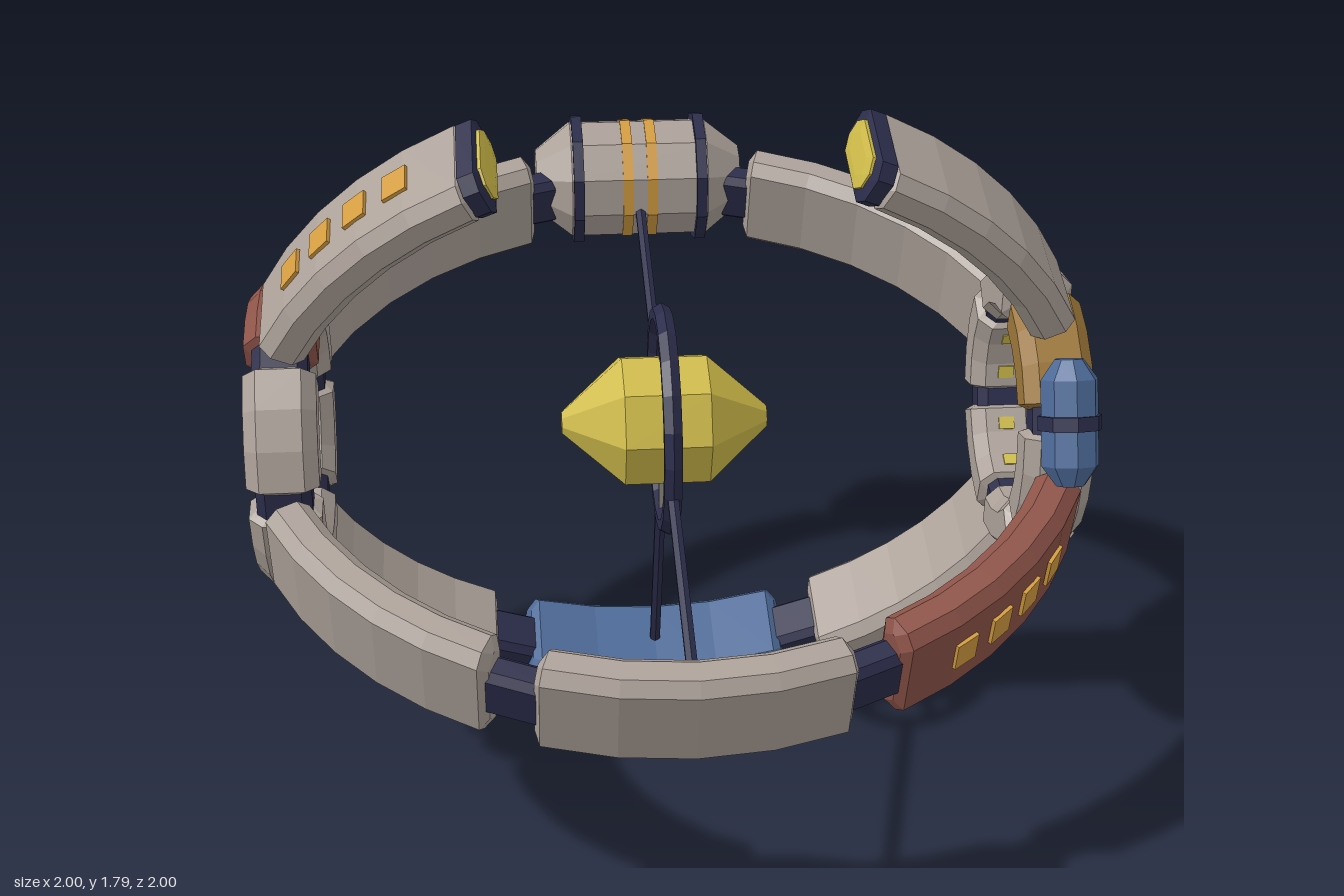
import * as THREE from 'three';

const rad = THREE.MathUtils.degToRad;
const V = (x, y, z) => new THREE.Vector3(x, y, z);
const CY = 0.94, CZ = 0.06; // hub axis position

const mat = {};
for (const [name, color] of Object.entries({
  hull: 0xaca199, navy: 0x2b2c4a, blue: 0x4d6a98, red: 0x8e5449,
  yellow: 0xcfbb4a, orange: 0xd39c40, bronze: 0x9c7639, steel: 0x7a766f,
})) {
  mat[name] = new THREE.MeshStandardMaterial({ color });
  mat[name].name = name;
}

// faceted normals
function flat(g) {
  const f = g.index ? g.toNonIndexed() : g;
  f.computeVertexNormals();
  return f;
}

function add(parent, name, geo, material) {
  const m = new THREE.Mesh(geo, material);
  m.name = name;
  parent.add(m);
  return m;
}

// frames: position P, tangent T, outward N, sideways S for an angle in degrees
function armFrame(deg) {
  const a = 0.99, b = 0.905, s = Math.sin(rad(deg)), c = Math.cos(rad(deg));
  const T = V(a * c, 0, -b * s).normalize(), N = V(b * s, 0, a * c).normalize();
  return { P: V(a * s, 0, b * c), T, N, S: V(0, 1, 0) };
}
function hubFrame(deg) {
  const r = 0.3, s = Math.sin(rad(deg)), c = Math.cos(rad(deg));
  return { P: V(0, r * s, -r * c), T: V(0, c, s), N: V(0, s, -c), S: V(1, 0, 0) };
}

// chamfered bar swept along a frame, with chamfered ends
function bar(frame, a0, a1, w, t, c, n, e = 1) {
  const stations = [[a0, c * 0.7]];
  for (let i = 0; i <= n; i++) stations.push([a0 + e + (a1 - a0 - 2 * e) * i / n, 0]);
  stations.push([a1, c * 0.7]);
  const pos = [], idx = [];
  for (const [ang, inset] of stations) {
    const f = frame(ang), x = w / 2 - inset, y = t / 2 - inset, k = c * 0.9;
    const section = [[x, k - y], [x, y - k], [x - k, y], [k - x, y],
      [-x, y - k], [-x, k - y], [k - x, -y], [x - k, -y]];
    for (const [s, q] of section) {
      pos.push(...f.P.clone().addScaledVector(f.S, s).addScaledVector(f.N, q).toArray());
    }
  }
  const last = stations.length - 1;
  for (let i = 0; i < last; i++) for (let j = 0; j < 8; j++) {
    const p = i * 8 + j, q = i * 8 + (j + 1) % 8;
    idx.push(p, q, q + 8, p, q + 8, p + 8);
  }
  for (let j = 1; j < 7; j++) {
    idx.push(0, j + 1, j, last * 8, last * 8 + j, last * 8 + j + 1);
  }
  const g = new THREE.BufferGeometry();
  g.setAttribute('position', new THREE.Float32BufferAttribute(pos, 3));
  g.setIndex(idx);
  return flat(g);
}

// thin window plate; (ds, dn) is its offset, onSide turns it to face sideways
function plate(parent, frame, deg, ds, dn, len, wid, material, onSide = false) {
  const f = frame(deg);
  const g = onSide ? new THREE.BoxGeometry(len, 0.009, wid) : new THREE.BoxGeometry(len, wid, 0.009);
  const m = add(parent, 'window', g, material);
  m.quaternion.setFromRotationMatrix(new THREE.Matrix4().makeBasis(f.T, f.S, f.N));
  m.position.copy(f.P).addScaledVector(f.S, ds).addScaledVector(f.N, dn);
}

// turned body along x from [x, radius] pairs
function turned(points, sides) {
  const g = new THREE.LatheGeometry(points.map(([x, r]) => new THREE.Vector2(r, x)), sides);
  return flat(g.rotateZ(-Math.PI / 2));
}

const W = 0.27, TH = 0.11;

function makeArm(name, tilt) {
  const g = new THREE.Group();
  g.name = name;
  g.rotation.x = rad(tilt);
  return g;
}

// side segment: sign +1 for left (+x), -1 for right
function sideSegment(arm, sign, start, material) {
  const lo = sign > 0 ? start : -67, hi = sign > 0 ? 67 : -start;
  add(arm, 'armSegment', bar(armFrame, lo, hi, W, TH, 0.032, 5), material);
  const [j0, j1] = sign > 0 ? [65, 71] : [-71, -65];
  add(arm, 'hubJoint', bar(armFrame, j0, j1, 0.15, 0.08, 0.02, 1), mat.navy);
}
const windowAngles = (mid) => [-10, -3.3, 3.3, 10].map((d) => mid + d);

// arm with a centre segment
function fullArm(name, tilt, colors) {
  const arm = makeArm(name, tilt);
  add(arm, 'centreSegment', bar(armFrame, -20.5, 20.5, W, TH, 0.032, 4), colors[1]);
  sideSegment(arm, -1, 26.5, colors[0]);
  sideSegment(arm, 1, 26.5, colors[2]);
  for (const a of [-28, 19]) add(arm, 'armJoint', bar(armFrame, a, a + 9, 0.14, 0.08, 0.02, 1), mat.navy);
  return arm;
}

function strut(arm, end) {
  const g = flat(new THREE.CylinderGeometry(0.015, 0.015, end - 0.265, 6).rotateX(Math.PI / 2));
  add(arm, 'strut', g, mat.navy).position.z = (end + 0.265) / 2;
}

// small tank with a middle band
function tank(parent, name, x, y, z, r, half, material) {
  const g = new THREE.Group();
  g.name = name;
  add(g, 'tankBody', turned([[-half, 0], [-half, r * 0.5], [-half * 0.68, r], [half * 0.68, r], [half, r * 0.5], [half, 0]], 8), material);
  add(g, 'tankBand', turned([[-0.017, 0], [-0.017, r * 1.12], [0.017, r * 1.12], [0.017, 0]], 8), mat.navy);
  g.rotation.set(rad(-20), 0, Math.PI / 2);
  g.position.set(x, y, z);
  parent.add(g);
}

// segmented hub ring
function hub(name, x, first, colored, material) {
  const g = new THREE.Group();
  g.name = name;
  g.position.x = x;
  for (let i = 0; i < 6; i++) {
    const a = first + i * 60;
    add(g, 'hubSegment', bar(hubFrame, a + 4, a + 56, 0.17, 0.135, 0.036, 3, 3), i === colored ? material : mat.hull);
    add(g, 'hubRingJoint', bar(hubFrame, a - 7, a + 7, 0.13, 0.105, 0.025, 1), mat.navy);
    for (const d of [17, 43]) plate(g, hubFrame, a + d, 0, -0.069, 0.032, 0.04, mat.yellow);
  }
  return g;
}

export function createModel() {
  const root = new THREE.Group();
  root.name = 'station';
  const body = new THREE.Group();
  body.name = 'frame';
  body.position.set(0, CY, CZ);
  root.add(body);

  // front arm
  const front = fullArm('frontArm', 20, [mat.hull, mat.hull, mat.red]);
  for (const a of windowAngles(46.7)) plate(front, armFrame, a, 0, TH / 2 + 0.003, 0.065, 0.08, mat.orange);
  strut(front, 0.86);

  // bottom arm
  const bottom = fullArm('bottomArm', 110, [mat.hull, mat.blue, mat.hull]);
  for (const a of windowAngles(-46.7)) plate(bottom, armFrame, a, 0, TH / 2 + 0.003, 0.065, 0.08, mat.orange);
  for (const a of [-7, 0, 7]) for (const s of [-1, 1]) {
    plate(bottom, armFrame, a, s * (W / 2 + 0.002), 0, 0.07, 0.035, mat.orange, true);
  }
  strut(bottom, 0.86);

  // back arm with drum module
  const back = makeArm('backArm', 200);
  for (const s of [-1, 1]) {
    sideSegment(back, s, 17.5, mat.hull);
    add(back, 'drumJoint', bar(armFrame, s * 16 - 3, s * 16 + 3, 0.14, 0.08, 0.02, 1), mat.navy);
  }
  for (const a of windowAngles(42)) plate(back, armFrame, a, 0, TH / 2 + 0.003, 0.065, 0.08, mat.orange);
  for (const a of windowAngles(-42)) plate(back, armFrame, a, W / 2 + 0.002, 0, 0.065, 0.035, mat.orange, true);
  const drum = new THREE.Group();
  drum.name = 'drumModule';
  drum.position.z = 0.95;
  back.add(drum);
  add(drum, 'drumBody', turned([[-0.28, 0], [-0.28, 0.085], [-0.185, 0.162], [0.185, 0.162], [0.28, 0.085], [0.28, 0]], 10), mat.hull);
  const band = (name, x, half, r, m) => add(drum, name, turned([[x - half, 0], [x - half, r], [x + half, r], [x + half, 0]], 10), m);
  for (const s of [-1, 1]) {
    band('drumCollar', s * 0.167, 0.014, 0.18, mat.navy);
    band('drumStripe', s * 0.033, 0.014, 0.166, mat.orange);
  }
  strut(back, 0.82);

  // open top arm with lit end caps
  const top = makeArm('topArm', 290);
  for (const s of [-1, 1]) {
    sideSegment(top, s, 27, mat.hull);
    add(top, 'endCollar', bar(armFrame, s * 26.5 - 1.5, s * 26.5 + 1.5, 0.25, 0.125, 0.035, 1, 0.4), mat.navy);
    add(top, 'endLight', bar(armFrame, s * 25 - 0.5, s * 25 + 0.5, 0.19, 0.095, 0.03, 1, 0.2), mat.yellow);
    for (const a of windowAngles(s * 46.7)) plate(top, armFrame, a, 0, -TH / 2 - 0.004, 0.045, 0.055, mat.yellow);
  }
  for (const a of windowAngles(-46.7)) plate(top, armFrame, a, 0, TH / 2 + 0.003, 0.065, 0.08, mat.orange);
  body.add(front, bottom, back, top);

  // hub rings
  body.add(hub('leftHub', 0.915, 101, 0, mat.bronze));
  const rightHub = hub('rightHub', -0.915, 64, 0, mat.red);
  plate(rightHub, hubFrame, 47, 0, 0.069, 0.06, 0.05, mat.orange);
  body.add(rightHub);

  // tanks beside the hubs
  tank(body, 'blueTank', 0.91, 0.15, 0.415, 0.068, 0.148, mat.blue);
  tank(body, 'bronzeTank', -0.93, -0.15, -0.41, 0.058, 0.125, mat.bronze);

  // core crystal with its ring and spokes
  add(body, 'core', turned([[-0.255, 0], [-0.255, 0.028], [-0.105, 0.168], [0.105, 0.168], [0.255, 0.028], [0.255, 0]], 8), mat.yellow);
  add(body, 'coreRing', flat(new THREE.TorusGeometry(0.265, 0.025, 6, 20).rotateY(Math.PI / 2)), mat.navy);
  for (let i = 0; i < 4; i++) {
    const g = flat(new THREE.CylinderGeometry(0.015, 0.015, 0.12, 6).translate(0, 0.205, 0));
    add(body, 'coreSpoke', g, mat.steel).rotation.x = i * Math.PI / 2;
  }
  return root;
}
